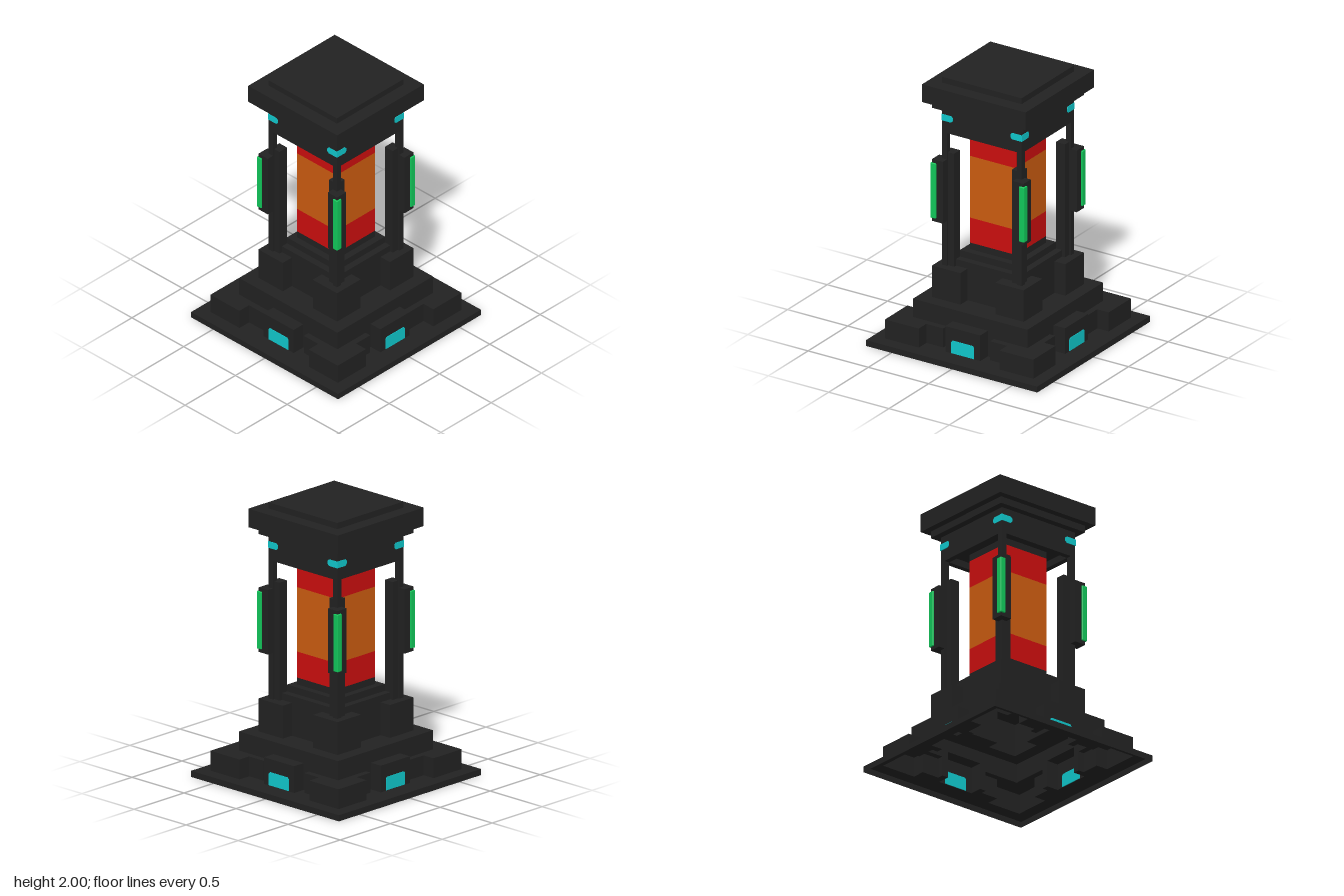
import * as THREE from 'three';
import { RoundedBoxGeometry } from 'three/addons/geometries/RoundedBoxGeometry.js';

const paint = (name, color, side = THREE.FrontSide) => {
  const m = new THREE.MeshStandardMaterial({ color, side });
  m.name = name;
  return m;
};

// Open-bottomed shell over the union of standing boxes [x0, x1, z0, z1, height]
function steppedShell(boxes) {
  const breaks = (a, b) => [...new Set(boxes.flatMap(k => [k[a], k[b]]))].sort((p, q) => p - q);
  const xs = breaks(0, 1), zs = breaks(2, 3), pos = [];
  const height = (i, j) => {
    if (i < 0 || j < 0 || i >= xs.length - 1 || j >= zs.length - 1) return 0;
    const x = (xs[i] + xs[i + 1]) / 2, z = (zs[j] + zs[j + 1]) / 2;
    return boxes.reduce((h, b) => (x > b[0] && x < b[1] && z > b[2] && z < b[3] ? Math.max(h, b[4]) : h), 0);
  };
  const quad = (a, b, c, d, flip) =>
    (flip ? [a, c, b, a, d, c] : [a, b, c, a, c, d]).forEach(p => pos.push(...p));
  for (let i = -1; i < xs.length - 1; i++) {
    for (let j = -1; j < zs.length - 1; j++) {
      const h = height(i, j), hx = height(i + 1, j), hz = height(i, j + 1);
      const x0 = xs[i], x1 = xs[i + 1], z0 = zs[j], z1 = zs[j + 1];
      if (h > 0) quad([x0, h, z0], [x0, h, z1], [x1, h, z1], [x1, h, z0]);
      if (h !== hx) {
        const lo = Math.min(h, hx), hi = Math.max(h, hx);
        quad([x1, lo, z1], [x1, lo, z0], [x1, hi, z0], [x1, hi, z1], hx > h);
      }
      if (h !== hz) {
        const lo = Math.min(h, hz), hi = Math.max(h, hz);
        quad([x0, lo, z1], [x1, lo, z1], [x1, hi, z1], [x0, hi, z1], hz > h);
      }
    }
  }
  const g = new THREE.BufferGeometry();
  g.setAttribute('position', new THREE.Float32BufferAttribute(pos, 3));
  g.computeVertexNormals();
  return g;
}

// Thin plate with clipped corners: [x, y] outline extruded around z = 0
function plate(points, depth) {
  const shape = new THREE.Shape(points.map(p => new THREE.Vector2(...p)));
  return new THREE.ExtrudeGeometry(shape, { depth, bevelEnabled: false }).translate(0, 0, -depth / 2);
}

export function createModel() {
  const dark = paint('dark metal', 0x222222);
  const darkShell = paint('dark shell metal', 0x222222, THREE.DoubleSide);
  const red = paint('core red', 0xcc0e0e);
  const orange = paint('core orange', 0xcc5c10);
  const green = paint('light green', 0x11c95b);
  const cyan = paint('light cyan', 0x10c9cd);

  const model = new THREE.Group();
  model.name = 'beaconTower';
  const add = (parent, name, geometry, material) => {
    const mesh = new THREE.Mesh(geometry, material);
    mesh.name = name;
    parent.add(mesh);
    return mesh;
  };
  // Centred square block of half width r
  const block = (name, r, y0, y1, material = dark) =>
    add(model, name, new THREE.BoxGeometry(2 * r, y1 - y0, 2 * r).translate(0, (y0 + y1) / 2, 0), material);
  // Square block on the corner diagonal, from a to b in both x and z
  const cornerBox = (a, b, y0, y1) =>
    new THREE.BoxGeometry(b - a, y1 - y0, b - a).translate((a + b) / 2, (y0 + y1) / 2, (a + b) / 2);

  // Stepped hollow base: tiers, corner blocks and side blocks
  const boxes = [[0.71, 0.045], [0.475, 0.33], [0.29, 0.62], [0.24, 0.67], [0.19, 0.72]]
    .map(([r, h]) => [-r, r, -r, r, h]);
  const mirrored = (x0, x1, z0, z1, h) => {
    for (const [a, b] of [[x0, x1], [-x1, -x0]])
      for (const [c, d] of [[z0, z1], [-z1, -z0]]) boxes.push([a, b, c, d, h], [c, d, a, b, h]);
  };
  mirrored(0.335, 0.615, 0.335, 0.615, 0.19);
  mirrored(0.195, 0.335, 0.335, 0.52, 0.19);
  mirrored(-0.145, 0.145, 0.335, 0.57, 0.24);
  mirrored(0.145, 0.38, 0.145, 0.38, 0.57);
  add(model, 'steppedBase', steppedShell(boxes), darkShell);

  // Glowing core
  block('coreLowerBand', 0.19, 0.72, 0.91, red);
  block('coreMiddleBand', 0.19, 0.91, 1.38, orange);
  block('coreUpperBand', 0.19, 1.38, 1.58, red);
  block('coreCap', 0.19, 1.58, 1.64);

  // Head: collar ceiling and stacked slabs
  block('collarCeiling', 0.29, 1.63, 1.77);
  block('headLowerSlab', 0.38, 1.77, 1.82);
  block('headMainSlab', 0.43, 1.82, 1.955);
  block('headTopSlab', 0.33, 1.955, 2);

  // Four identical sides, each with one corner post
  for (let k = 0; k < 4; k++) {
    const side = new THREE.Group();
    side.name = 'side' + (k + 1);
    side.rotation.y = k * Math.PI / 2;
    model.add(side);

    add(side, 'collarWall', new THREE.BoxGeometry(0.66, 0.19, 0.04).translate(0, 1.675, 0.31), dark);
    add(side, 'cornerPost', cornerBox(0.29, 0.33, 0.57, 1.6), dark);
    add(side, 'postInnerRib', cornerBox(0.24, 0.315, 0.57, 1.43), dark);
    add(side, 'lightBracket', cornerBox(0.29, 0.38, 0.91, 1.38), dark);
    add(side, 'cornerLight',
      new RoundedBoxGeometry(0.045, 0.42, 0.045, 1, 0.006).translate(0.3675, 1.145, 0.3675), green);

    // Base light set through the wall of the side block
    add(side, 'baseLight', plate([[-0.095, 0.048], [0.095, 0.048], [0.095, 0.132], [0.083, 0.145],
      [-0.083, 0.145], [-0.095, 0.132]], 0.008), cyan).position.z = 0.57;

    // Collar lights wrapping both corners
    for (const s of [1, -1]) {
      const outline = [[0.24, 1.683], [0.253, 1.67], [0.333, 1.67], [0.333, 1.718], [0.253, 1.718], [0.24, 1.705]];
      add(side, 'collarLight', plate(outline.map(([x, y]) => [s * x, y]), 0.008), cyan).position.z = 0.33;
    }
  }
  return model;
}
